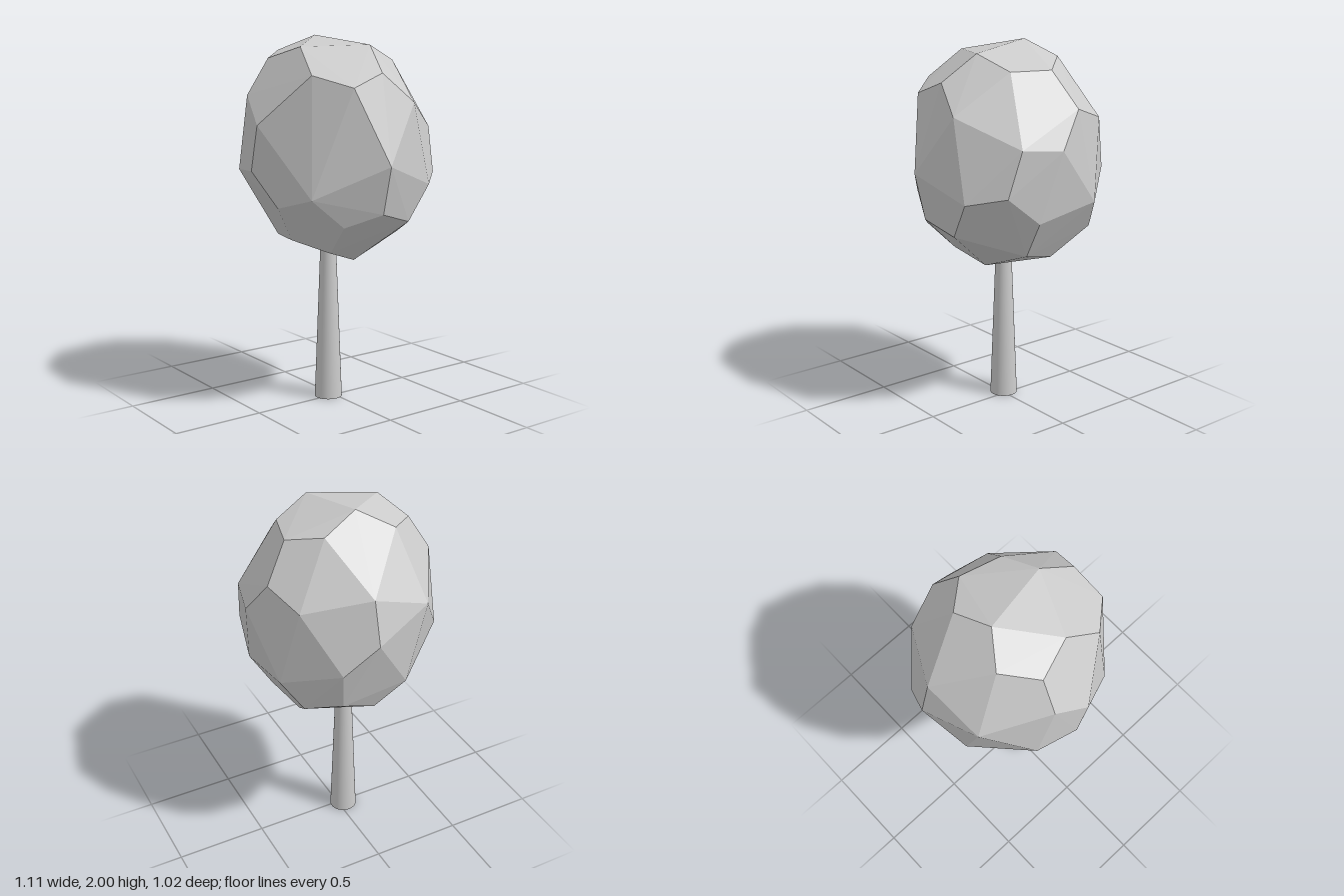
import * as THREE from 'three';
import { ConvexGeometry } from 'three/addons/geometries/ConvexGeometry.js';

// Corners of the faceted crown, ring by ring from top to bottom: [x, y, z]
const crownRings = {
  cap: [
    [-0.15, 2.0, 0.02], [0.23, 1.95, -0.06], [0.08, 1.94, 0.275], [-0.27, 1.92, 0.18],
    [-0.21, 1.92, -0.18], [-0.05, 1.87, -0.32], [0.17, 1.87, -0.26], [-0.125, 1.88, 0.34],
  ],
  shoulder: [
    [0.41, 1.81, 0], [0.26, 1.8, 0.33], [0.425, 1.74, 0.19], [-0.15, 1.69, 0.455],
    [-0.5, 1.69, -0.06], [-0.12, 1.68, -0.45], [0.46, 1.66, -0.17], [-0.33, 1.61, -0.38],
  ],
  middle: [
    [0.03, 1.545, 0.51], [-0.47, 1.57, 0.26], [0.25, 1.51, -0.455], [0.03, 1.49, -0.51],
    [-0.56, 1.46, -0.06], [0.55, 1.35, 0.05], [-0.03, 1.305, 0.51], [-0.25, 1.29, 0.45],
    [-0.5, 1.3, -0.23], [0.32, 1.27, -0.43], [0.47, 1.23, -0.27],
  ],
  lower: [
    [0.32, 1.18, 0.375], [-0.24, 1.18, -0.455], [-0.47, 1.14, 0.15], [0.11, 1.12, 0.44],
    [0.14, 1.12, -0.46], [0.49, 1.1, 0.05], [-0.445, 1.08, -0.2], [0.45, 1.04, -0.15],
    [0.37, 1.03, 0.21], [-0.3, 1.02, -0.35],
  ],
  underside: [
    [-0.41, 0.99, 0], [0.04, 0.93, 0.31], [-0.18, 0.925, 0.25], [0.126, 0.92, -0.34],
    [0.21, 0.87, 0.18], [-0.09, 0.865, -0.28], [0.15, 0.8, -0.02],
  ],
};

export function createModel() {
  const model = new THREE.Group();
  model.name = 'tree';
  const grey = new THREE.MeshStandardMaterial({ color: 0xcccccc });
  const faceted = new THREE.MeshStandardMaterial({ color: 0xcccccc, flatShading: true });

  // Crown: a rough many-sided solid spanned over the rings of corners
  const corners = Object.values(crownRings).flat().map((p) => new THREE.Vector3(...p));
  const crown = new THREE.Mesh(new ConvexGeometry(corners), faceted);
  crown.name = 'crown';

  // Trunk: smooth, tapering, sunk slightly into the crown
  const height = 0.92;
  const trunk = new THREE.Mesh(new THREE.CylinderGeometry(0.041, 0.076, height, 32), grey);
  trunk.name = 'trunk';
  trunk.position.set(-0.015, height / 2, 0.03);

  model.add(crown, trunk);
  return model;
}
